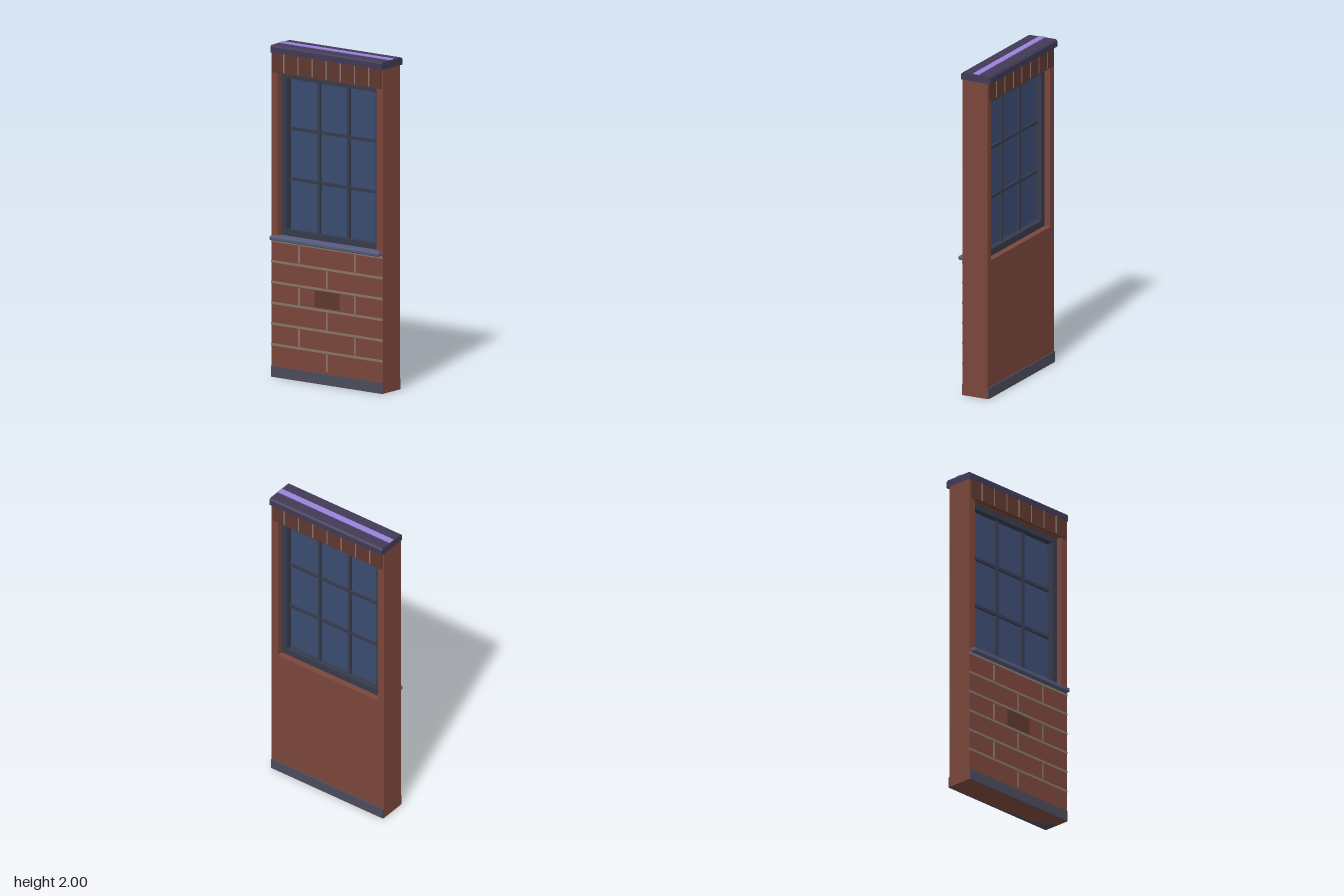
import * as THREE from 'three';
import { RoundedBoxGeometry } from 'three/addons/geometries/RoundedBoxGeometry.js';

const mat = (color) => new THREE.MeshStandardMaterial({ color });
const brick = mat(0x7a463b), darkBrick = mat(0x5f382f), mortar = mat(0x85756a);
const stone = mat(0x4b4b5c), capStone = mat(0x403a56), sillStone = mat(0x555b7a);
const frameMat = mat(0x363a4c), glassMat = mat(0x3b4c72), trim = mat(0x9a82dc);

const MID = -0.0075; // middle of the wall thickness
const FRONT = 0.075, BACK = -0.09;

export function createModel() {
  const root = new THREE.Group();
  const add = (name, geometry, material, x = 0, y = 0, z = 0, parent = root) => {
    const mesh = new THREE.Mesh(geometry, material);
    mesh.name = name;
    mesh.position.set(x, y, z);
    parent.add(mesh);
    return mesh;
  };
  // box given by its limits on each axis
  const box = (name, material, x0, x1, y0, y1, z0, z1, parent) =>
    add(name, new THREE.BoxGeometry(x1 - x0, y1 - y0, z1 - z0), material,
      (x0 + x1) / 2, (y0 + y1) / 2, (z0 + z1) / 2, parent);
  const group = (name) => {
    const g = new THREE.Group();
    g.name = name;
    root.add(g);
    return g;
  };
  const rect = (target, x0, x1, y0, y1) =>
    target.moveTo(x0, y0).lineTo(x1, y0).lineTo(x1, y1).lineTo(x0, y1).closePath();
  // rectangular panel with a rectangular opening
  const panel = (outer, inner, depth) => {
    const shape = rect(new THREE.Shape(), ...outer);
    shape.holes.push(rect(new THREE.Path(), ...inner));
    return new THREE.ExtrudeGeometry(shape, { depth, bevelEnabled: false });
  };

  // wall with the window opening
  add('wall', panel([-0.414, 0.414, 0, 1.955], [-0.368, 0.368, 0.845, 1.832], FRONT - BACK),
    brick, 0, 0, BACK);

  // plinth lips at the foot
  box('plinth', stone, -0.413, 0.413, 0, 0.065, -0.098, 0.082);

  // mortar joints, running bond, on the front below the window
  const joints = group('mortarJoints');
  for (let i = 0; i < 6; i++) {
    const y = 0.195 + i * 0.125;
    box('bedJoint', mortar, -0.413, 0.413, y - 0.007, y + 0.007, 0.07, 0.079, joints);
    for (const x of i % 2 ? [-0.207, 0.207] : [0])
      box('headJoint', mortar, x - 0.006, x + 0.006, y - 0.115, y - 0.012, 0.07, 0.078, joints);
  }
  box('darkBrick', darkBrick, -0.093, 0.093, 0.46, 0.56, 0.07, 0.078);

  // soldier course over the window on both faces
  const lintel = group('lintel');
  for (const side of [1, -1]) {
    const z = (d) => MID + side * d;
    const slab = (name, m, x0, x1, y0, y1, d) =>
      box(name, m, x0, x1, y0, y1, Math.min(z(0.075), z(d)), Math.max(z(0.075), z(d)), lintel);
    slab('lintelBricks', darkBrick, -0.403, 0.403, 1.832, 1.953, 0.09);
    for (let i = -3; i <= 3; i++)
      slab('lintelJoint', mortar, i * 0.105 - 0.004, i * 0.105 + 0.004, 1.838, 1.952, 0.0925);
  }

  // window frame, glazing bars and glass
  const win = group('window');
  add('windowFrame', panel([-0.368, 0.368, 0.847, 1.832], [-0.33, 0.33, 0.888, 1.798], 0.09),
    frameMat, 0, 0, MID - 0.045, win);
  for (const x of [-0.11, 0.11])
    box('verticalBar', frameMat, x - 0.009, x + 0.009, 0.88, 1.805, MID - 0.02, MID + 0.02, win);
  for (const y of [1.19, 1.495])
    box('horizontalBar', frameMat, -0.335, 0.335, y - 0.009, y + 0.009, MID - 0.018, MID + 0.018, win);
  box('glass', glassMat, -0.335, 0.335, 0.88, 1.805, MID - 0.005, MID + 0.005, win);

  // window sill
  add('sill', new RoundedBoxGeometry(0.81, 0.026, 0.077, 2, 0.008), sillStone, 0, 0.84, 0.0715);

  // coping with chamfered edges, swept along x
  const profile = new THREE.Shape([
    [-0.085, 1.95], [0.112, 1.95], [0.112, 1.985], [0.102, 1.995], [-0.075, 1.995], [-0.085, 1.985],
  ].map(([x, y]) => new THREE.Vector2(x, y)));
  const coping = new THREE.ExtrudeGeometry(profile, { depth: 0.83, bevelEnabled: false });
  coping.rotateY(Math.PI / 2);
  add('coping', coping, capStone, -0.415);
  box('copingStripe', trim, -0.414, 0.414, 1.985, 2, -0.034, 0.005);

  return root;
}
